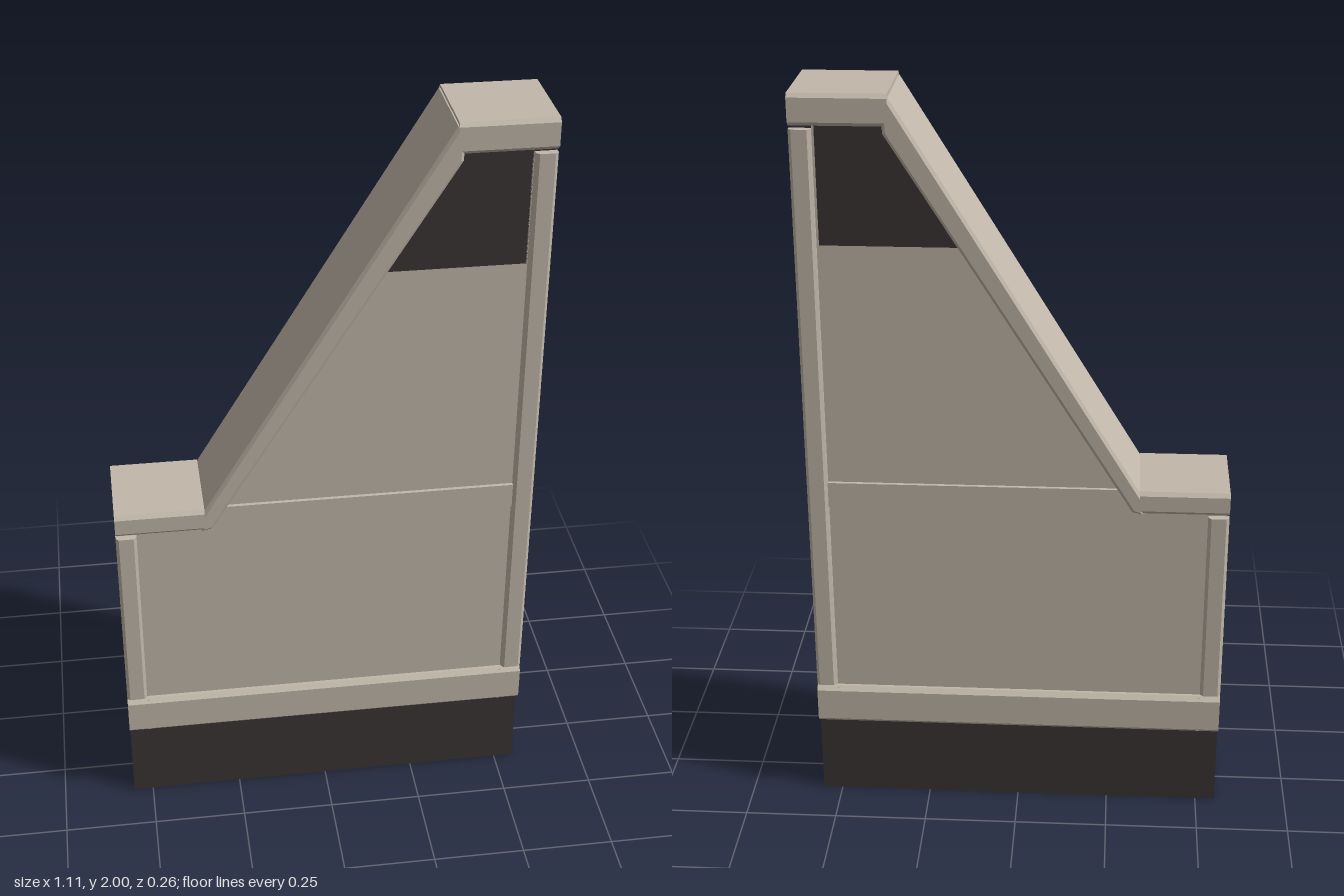
import * as THREE from 'three';

export function createModel() {
  const model = new THREE.Group();
  const stone = new THREE.MeshStandardMaterial({ color: 0xc2b8aa, side: THREE.DoubleSide });
  stone.name = 'warm stone';
  const dark = new THREE.MeshStandardMaterial({ color: 0x3b3433, side: THREE.DoubleSide });
  dark.name = 'dark base';

  const shapeOf = (pts) => new THREE.Shape(pts.map(([x, y]) => new THREE.Vector2(x, y)));
  const add = (name, geometry, material) => {
    const mesh = new THREE.Mesh(geometry, material);
    mesh.name = name;
    model.add(mesh);
    return mesh;
  };
  const box = (name, x0, x1, y0, y1, z, material) => add(name,
    new THREE.BoxGeometry(x1 - x0, y1 - y0, 2 * z)
      .translate((x0 + x1) / 2, (y0 + y1) / 2, 0), material);
  // Side outline extruded between two depths
  const slab = (name, pts, z0, z1, material) => add(name,
    new THREE.ExtrudeGeometry(shapeOf(pts), { depth: z1 - z0, bevelEnabled: false })
      .translate(0, 0, z0), material);
  // Rectangle with chamfered corners
  const chamfered = (hw, y0, y1, c) => [
    [-hw + c, y0], [hw - c, y0], [hw, y0 + c], [hw, y1 - c],
    [hw - c, y1], [-hw + c, y1], [-hw, y1 - c], [-hw, y0 + c]];
  // Hollow sleeve along x, open at its ends
  const sleeve = (name, x0, x1, y0, y1, hw, c, material) => {
    const t = 0.006;
    const shape = shapeOf(chamfered(hw, y0, y1, c));
    shape.holes.push(shapeOf(chamfered(hw - t, y0 + t, y1 - t, c)));
    add(name, new THREE.ExtrudeGeometry(shape, { depth: x1 - x0, bevelEnabled: false })
      .rotateY(Math.PI / 2).translate(x0, 0, 0), material);
  };

  // Plinth and the moulding above it, with recessed end plates
  sleeve('plinth', -0.553, 0.553, 0, 0.228, 0.11, 0.0005, dark);
  sleeve('baseMoulding', -0.555, 0.555, 0.23, 0.343, 0.13, 0.012, stone);
  for (const s of [-1, 1]) {
    const a = s * 0.497 - 0.003, b = s * 0.497 + 0.003;
    box('plinthEnd', a, b, 0.002, 0.226, 0.107, dark);
    box('baseMouldingEnd', a, b, 0.234, 0.339, 0.124, stone);
    box('endPanel', a, b, 0.34, s > 0 ? 1.925 : 0.905, 0.11, stone);
  }

  // Low and high caps
  sleeve('lowCap', -0.555, -0.32, 0.9, 0.963, 0.13, 0.01, stone);
  box('lowCapEnd', -0.5, -0.494, 0.905, 0.958, 0.124, stone);
  box('lowCapInnerEnd', -0.326, -0.321, 0.904, 0.959, 0.122, stone);
  sleeve('highCap', 0.312, 0.555, 1.92, 2, 0.13, 0.01, stone);
  box('highCapEnd', 0.494, 0.5, 1.925, 1.995, 0.124, stone);
  box('highCapInnerEnd', 0.313, 0.318, 1.924, 1.996, 0.122, stone);

  // Sloping board with chamfered long edges
  const bevel = 0.008;
  add('slopingBoard', new THREE.ExtrudeGeometry(shapeOf([
    [-0.322, 0.905], [-0.306, 0.91], [0.318, 1.905], [0.322, 1.982], [0.314, 1.982], [-0.322, 0.94],
  ]), { depth: 0.26 - 2 * bevel, bevelEnabled: true, bevelSize: bevel, bevelThickness: bevel, bevelSegments: 1 })
    .translate(0, 0, -0.13 + bevel), stone);

  // Front and back faces, with their trim
  for (const s of [-1, 1]) {
    const range = (a, b) => (s > 0 ? [a, b] : [-b, -a]);
    const face = range(0.104, 0.11);
    slab('wallPanel', [[-0.55, 0.34], [0.55, 0.34], [0.55, 1.615], [0.125, 1.615], [-0.32, 0.905], [-0.55, 0.905]],
      ...face, stone);
    slab('darkTopPanel', [[0.125, 1.615], [0.55, 1.615], [0.55, 1.922], [0.318, 1.922]], ...face, dark);
    slab('middleRail', [[-0.315, 0.895], [0.502, 0.895], [0.502, 0.965], [-0.27, 0.965]],
      ...range(0.109, 0.12), stone);

    // Chamfered corner posts
    for (const [side, top] of [[-1, 0.892], [1, 1.912]]) {
      const profile = [[0.5, 0.108], [0.5, 0.122], [0.508, 0.13], [0.547, 0.13], [0.555, 0.122], [0.555, 0.108]];
      const y0 = 0.35;
      add('cornerPost', new THREE.ExtrudeGeometry(
        shapeOf(profile.map(([x, z]) => [side * x, s * z])), { depth: top - y0, bevelEnabled: false })
        .rotateX(-Math.PI / 2).translate(0, y0, 0), stone);
    }
  }
  return model;
}
